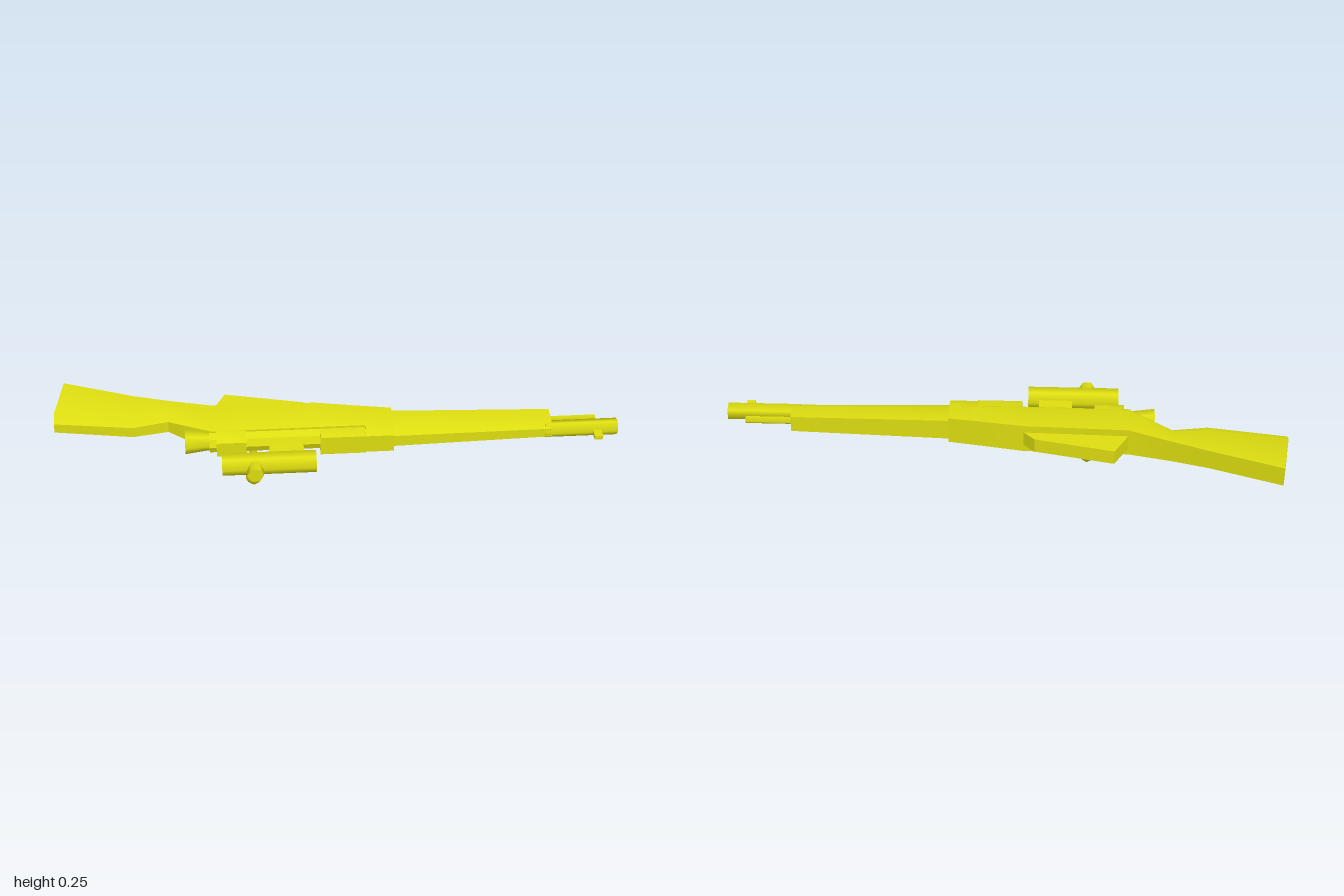
import * as THREE from 'three';
import { toCreasedNormals } from 'three/addons/utils/BufferGeometryUtils.js';

const Y = 0.2; // height of the centre plane; the rifle lies on its side
const CREASE = 0.7;

// Loft along x. Section: [x, zBottom, zTop, halfWidth, topHalfWidth, shoulderDrop, xShiftAtBottom]
function loft(sections) {
  const rings = sections.map(([x, zb, zt, w, c, s, dx = 0]) => [
    [x + dx, Y - w, zb], [x + dx, Y + w, zb], [x, Y + w, zt - s],
    [x, Y + c, zt], [x, Y - c, zt], [x, Y - w, zt - s],
  ]);
  const pos = [];
  const tri = (...p) => p.forEach((v) => pos.push(...v));
  for (let k = 0; k < rings.length - 1; k++) {
    const a = rings[k], b = rings[k + 1];
    for (let i = 0; i < 6; i++) {
      const j = (i + 1) % 6;
      tri(a[i], a[j], b[j]);
      tri(a[i], b[j], b[i]);
    }
  }
  const first = rings[0], last = rings[rings.length - 1];
  for (let i = 1; i < 5; i++) {
    tri(first[0], first[i + 1], first[i]);
    tri(last[0], last[i], last[i + 1]);
  }
  const g = new THREE.BufferGeometry();
  g.setAttribute('position', new THREE.Float32BufferAttribute(pos, 3));
  return toCreasedNormals(g, CREASE);
}

// Cylinder running along x, one edge facing +z
function rodX(x0, x1, z, r, sides, r1 = r) {
  const g = new THREE.CylinderGeometry(r, r1, x1 - x0, sides);
  g.rotateZ(Math.PI / 2).translate((x0 + x1) / 2, Y, z);
  return g;
}

function box(x0, x1, hy, z0, z1) {
  return new THREE.BoxGeometry(x1 - x0, hy * 2, z1 - z0).translate((x0 + x1) / 2, Y, (z0 + z1) / 2);
}

export function createModel() {
  const group = new THREE.Group();
  const yellow = new THREE.MeshStandardMaterial({ color: 0xdddd11 });
  yellow.name = 'yellow';
  const add = (name, geometry) => {
    const mesh = new THREE.Mesh(geometry, yellow);
    mesh.name = name;
    group.add(mesh);
  };

  // Butt, grip and receiver bedding
  add('stock', loft([
    [-1.0, -0.272, -0.048, 0.036, 0.018, 0.04, 0.027],
    [-0.72, -0.176, -0.005, 0.036, 0.02, 0.045],
    [-0.595, -0.132, -0.03, 0.041, 0.022, 0.035],
    [-0.44, -0.08, 0.066, 0.051, 0.044, 0.02],
    [-0.07, -0.07, 0.066, 0.053, 0.046, 0.015],
    [0.12, -0.038, 0.066, 0.051, 0.046, 0.015],
  ]));
  add('stockBand', loft([
    [0.1, -0.042, 0.116, 0.051, 0.034, 0.045],
    [0.2, -0.026, 0.116, 0.05, 0.034, 0.045],
  ]));
  add('foreStock', loft([
    [0.19, -0.024, 0.105, 0.038, 0.022, 0.04],
    [0.765, -0.008, 0.092, 0.03, 0.017, 0.032],
  ]));

  // Barrel, cleaning rod and front sight
  add('barrel', rodX(0.74, 1.0, 0.069, 0.031, 5));
  add('cleaningRod', rodX(0.74, 0.93, 0.015, 0.015, 4));
  add('frontSight', box(0.91, 0.94, 0.007, 0.08, 0.134));

  // Receiver, bolt and sight blocks
  add('receiver', toCreasedNormals(rodX(-0.45, 0.12, 0.066, 0.038, 8), CREASE));
  add('cockingPiece', rodX(-0.535, -0.43, 0.062, 0.043, 6, 0.03));
  add('receiverBridge', loft([
    [-0.425, 0.04, 0.117, 0.046, 0.028, 0.03],
    [-0.32, 0.04, 0.117, 0.046, 0.028, 0.03],
  ]));
  add('rearSightBlock', loft([
    [-0.06, 0.04, 0.118, 0.038, 0.036, 0.006],
    [0.1, 0.04, 0.118, 0.038, 0.036, 0.006],
  ]));

  // Bolt handle with faceted knob
  const handle = [[0, 0.004], [0.024, 0.027], [0.033, 0.046], [0.027, 0.066], [0.015, 0.085], [0.015, 0.18]]
    .map(([r, y]) => new THREE.Vector2(r, y));
  add('boltHandle', new THREE.LatheGeometry(handle, 6).translate(-0.297, 0, 0.074));

  // Magazine and trigger guard block
  const outline = new THREE.Shape([[-0.45, -0.06], [-0.39, -0.177], [-0.11, -0.112], [-0.06, -0.06]]
    .map(([x, z]) => new THREE.Vector2(x, z)));
  const magazine = new THREE.ExtrudeGeometry(outline, { depth: 0.052, bevelEnabled: false });
  magazine.rotateX(Math.PI / 2).translate(0, Y + 0.026, 0);
  add('magazine', magazine);

  // Scope with mount and turret
  add('scopeTube', rodX(-0.408, -0.08, 0.2, 0.039, 6));
  add('scopeMount', box(-0.24, -0.12, 0.01, 0.09, 0.18));
  const turret = new THREE.CylinderGeometry(0.029, 0.029, 0.06, 6);
  turret.rotateY(Math.PI / 2).rotateX(Math.PI / 2).translate(-0.293, Y, 0.24);
  add('scopeTurret', turret);

  return group;
}
